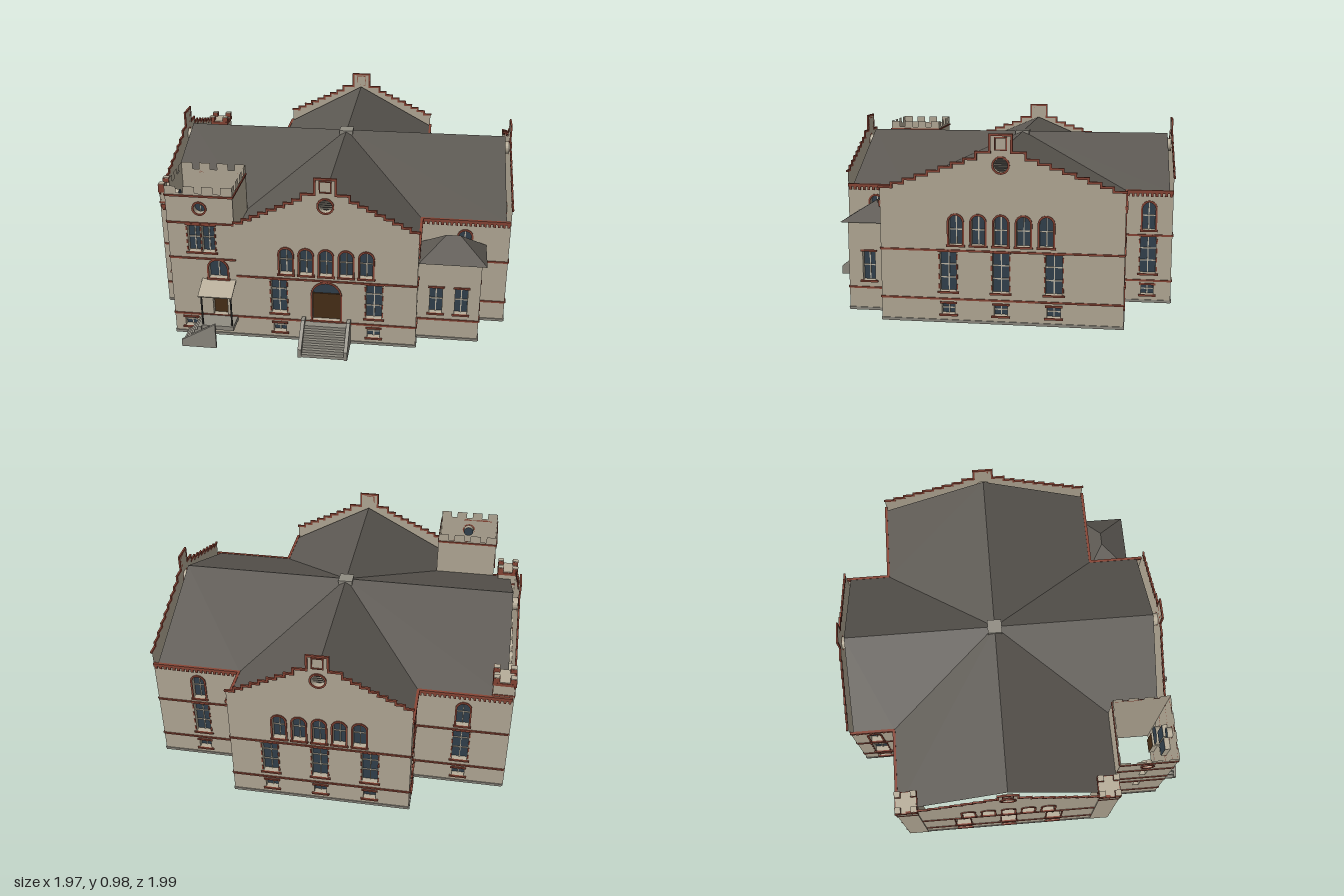
import * as THREE from 'three';

const mat = (name, color, side = THREE.FrontSide) => {
  const m = new THREE.MeshStandardMaterial({ color, side });
  m.name = name;
  return m;
};
const wallMat = mat('limestone wall', 0xb8ae9a, THREE.DoubleSide);
const brick = mat('red brick trim', 0x8a4636);
const roofMat = mat('slate roof', 0x5c5852, THREE.DoubleSide);
const stone = mat('grey stone', 0x918d83);
const glass = mat('window glass', 0x33424f, THREE.DoubleSide);
const wood = mat('door wood', 0x4a3018, THREE.DoubleSide);
const frameMat = mat('window frame', 0xc4bcaa);
const iron = mat('dark iron', 0x2e2d2c);
const DEPTH = 0.03; // window recess
const CX = 0.005, CZ = -0.11, PI = Math.PI;

function add(parent, name, geo, material, x = 0, y = 0, z = 0) {
  const m = new THREE.Mesh(geo, material);
  m.name = name;
  m.position.set(x, y, z);
  parent.add(m);
  return m;
}
// box given by its limits
function box(p, name, m, x0, x1, y0, y1, z0, z1) {
  return add(p, name, new THREE.BoxGeometry(x1 - x0, y1 - y0, z1 - z0), m, (x0 + x1) / 2, (y0 + y1) / 2, (z0 + z1) / 2);
}
const polygon = pts => new THREE.Shape(pts.map(p => new THREE.Vector2(...p)));
const extrude = (shape, depth) => new THREE.ExtrudeGeometry(shape, { depth, bevelEnabled: false, curveSegments: 10 });

// openings: kind, centre x, half width, bottom and top
const arch = (x, h, y0, y1, o) => ({ kind: 'arch', x, h, y0, y1, ...o });
const rect = (x, h, y0, y1, o) => ({ kind: 'rect', x, h, y0, y1, ...o });
const round = (x, y, h, o) => ({ kind: 'round', x, h, y0: y - h, y1: y + h, ...o });
const tall = x => rect(x, 0.042, 0.165, 0.372, { rows: 3, quoins: true });
const cellar = x => rect(x, 0.034, 0.045, 0.1, { rows: 2 });
const upper = x => arch(x, 0.034, 0.41, 0.562, { rows: 2 });

function outline(o, g = 0) {
  const s = new THREE.Shape(), h = o.h + g;
  if (o.kind === 'round') return s.absarc(o.x, o.y0 + o.h, h, 0, 2 * PI), s;
  s.moveTo(o.x - h, o.y0 - g);
  s.lineTo(o.x + h, o.y0 - g);
  if (o.kind === 'arch') s.absarc(o.x, o.y1 - o.h, h, 0, PI);
  else { s.lineTo(o.x + h, o.y1 + g); s.lineTo(o.x - h, o.y1 + g); }
  s.closePath();
  return s;
}

// reveal strip, pane, bars and brick dressing of one opening
function fitOpening(g, o) {
  const pts = outline(o).getPoints(10), pos = [];
  pts.forEach((a, i) => {
    const b = pts[(i + 1) % pts.length];
    pos.push(a.x, a.y, 0, a.x, a.y, -DEPTH, b.x, b.y, -DEPTH, a.x, a.y, 0, b.x, b.y, -DEPTH, b.x, b.y, 0);
  });
  const geo = new THREE.BufferGeometry();
  geo.setAttribute('position', new THREE.Float32BufferAttribute(pos, 3));
  geo.computeVertexNormals();
  add(g, 'reveal', geo, wallMat);
  add(g, 'pane', new THREE.ShapeGeometry(outline(o), 10), o.fill || glass, 0, 0, -DEPTH);
  const { x, h, y0, y1 } = o, zb = -DEPTH + 0.001, H = y1 - y0;
  if (o.rows) {
    box(g, 'mullion', frameMat, x - 0.003, x + 0.003, y0, y1, zb, zb + 0.005);
    for (let i = 1; i < o.rows; i++) {
      const y = y0 + H * i / o.rows;
      box(g, 'glazingBar', frameMat, x - h, x + h, y - 0.003, y + 0.003, zb, zb + 0.005);
    }
  }
  if (o.louvres) for (let i = 1; i < 6; i++) {
    const y = y0 + H * i / 6, w = Math.sqrt(h * h - (y - y0 - h) ** 2);
    box(g, 'louvre', frameMat, x - w, x + w, y - 0.002, y + 0.002, zb, zb + 0.006);
  }
  if (o.bare) return;
  if (o.kind === 'rect') {
    box(g, 'lintel', brick, x - h - 0.01, x + h + 0.01, y1, y1 + 0.01, 0, 0.007);
    if (o.quoins) for (const s of [-1, 1]) for (let i = 0; i < 4; i++) {
      const y = y0 + H * (i + 0.5) / 4;
      box(g, 'quoin', brick, x + s * (h + 0.004) - 0.004, x + s * (h + 0.004) + 0.004, y - H / 16, y + H / 16, 0, 0.005);
    }
  } else {
    const ring = outline(o, 0.01);
    ring.holes.push(outline(o));
    add(g, 'brickSurround', extrude(ring, 0.006), brick);
  }
  if (o.kind !== 'round') box(g, 'sill', brick, x - h - 0.014, x + h + 0.014, y0 - 0.01, y0, 0, 0.009);
}

// thin wall facing local +z, pierced by its openings
function wall(parent, name, x, z, rot, w, top, openings = [], bands = [0.125, 0.38]) {
  const g = new THREE.Group();
  g.name = name;
  g.position.set(x, 0, z);
  g.rotation.y = rot;
  parent.add(g);
  const shape = polygon([[-w / 2, 0], [w / 2, 0], ...top]);
  openings.forEach(o => { shape.holes.push(outline(o)); fitOpening(g, o); });
  add(g, 'wallFace', new THREE.ShapeGeometry(shape, 10), wallMat);
  box(g, 'plinth', stone, -w / 2, w / 2, 0, 0.015, 0, 0.005);
  bands.forEach(y => box(g, 'stringCourse', brick, -w / 2, w / 2, y - 0.005, y + 0.005, 0, 0.006));
  return g;
}
const flat = (w, h) => [[w / 2, h], [-w / 2, h]];

// stepped gable with brick coping
function gable(parent, name, x, z, rot, w, openings) {
  const half = [], n = 8;
  for (let i = 0; i < n; i++) {
    const y = 0.7 + 0.15 * i / (n - 1), at = k => w / 2 + (0.125 - w / 2) * k / n;
    half.push([at(i), y], [at(i + 1), y]);
  }
  half.push([0.125, 0.885], [0.055, 0.885], [0.055, 0.972]);
  const top = [...half, ...half.map(([a, b]) => [-a, b]).reverse()];
  const g = wall(parent, name, x, z, rot, w, top, [round(0, 0.82, 0.036, { fill: iron, louvres: true }), ...openings]);
  for (let i = 0; i < top.length - 1; i++) {
    const [a, b] = top[i], [c, d] = top[i + 1], e = 0.006;
    box(g, 'coping', brick, Math.min(a, c) - e, Math.max(a, c) + e, Math.min(b, d) - e, Math.max(b, d) + e, -0.002, 0.008);
  }
  const panel = rect(0, 0.026, 0.9, 0.955), frame = outline(panel, 0.006);
  frame.holes.push(outline(panel));
  add(g, 'peakPanel', extrude(frame, 0.006), brick);
  return g;
}

// low wall under the eaves with dentil cornice
function eaveWall(parent, x, z, rot, w, openings) {
  const g = wall(parent, 'eaveWall', x, z, rot, w, flat(w, 0.625), openings);
  box(g, 'cornice', brick, -w / 2, w / 2, 0.612, 0.63, -0.005, 0.01);
  const n = Math.round(w / 0.026);
  for (let i = 0; i < n; i++) {
    const cx = -w / 2 + (i + 0.5) * w / n;
    box(g, 'dentil', brick, cx - 0.007, cx + 0.007, 0.595, 0.612, 0, 0.008);
  }
}

// flat faces from corner loops
function faces(loops) {
  const pos = [];
  loops.forEach(l => { for (let i = 1; i < l.length - 1; i++) pos.push(...l[0], ...l[i], ...l[i + 1]); });
  const geo = new THREE.BufferGeometry();
  geo.setAttribute('position', new THREE.Float32BufferAttribute(pos, 3));
  geo.computeVertexNormals();
  return geo;
}

function turret(parent, z) {
  const g = new THREE.Group();
  g.name = 'cornerTurret';
  g.position.set(-0.925, 0, z);
  parent.add(g);
  const ring = (name, m, r, y0, y1) => box(g, name, m, -r, r, y0, y1, -r, r);
  ring('turretShaft', wallMat, 0.057, 0, 0.725);
  ring('turretBand', brick, 0.06, 0.635, 0.645);
  ring('turretCornice', brick, 0.062, 0.703, 0.72);
  for (const sx of [-1, 1]) for (const sz of [-1, 1]) {
    const x = sx * 0.044, w = sz * 0.044;
    box(g, 'merlon', brick, x - 0.017, x + 0.017, 0.72, 0.75, w - 0.017, w + 0.017);
    box(g, 'merlonCap', wallMat, x - 0.016, x + 0.016, 0.75, 0.754, w - 0.016, w + 0.016);
  }
}

export function createModel() {
  const root = new THREE.Group();
  root.name = 'steppedGableHall';

  // gable walls
  const row = d => [-2, -1, 0, 1, 2].map(i => upper(i * d));
  const three = [-0.27, 0, 0.27].flatMap(x => [tall(x), cellar(x)]);
  const front = gable(root, 'frontGable', CX, 0.83, 0, 0.97, [...row(0.107),
    ...[-0.257, 0.257].flatMap(x => [tall(x), cellar(x)]), arch(0, 0.075, 0.135, 0.365)]);
  box(front, 'frontDoor', wood, -0.075, 0.075, 0.135, 0.29, -DEPTH + 0.001, -DEPTH + 0.008);
  gable(root, 'backGable', CX, -0.985, PI, 0.97, [...row(0.107), ...three]);
  gable(root, 'leftGable', 0.975, CZ, PI / 2, 1.24, [...row(0.115), ...three]);
  gable(root, 'rightGable', -0.975, CZ, -PI / 2, 1.24, [...row(0.115), ...three]);

  // walls in the inner corners
  const bayOf = () => [upper(0), tall(0), cellar(0)];
  eaveWall(root, 0.49, -0.8575, PI / 2, 0.255, bayOf());
  eaveWall(root, -0.48, -0.8575, -PI / 2, 0.255, bayOf());
  eaveWall(root, 0.7325, -0.73, PI, 0.485, bayOf());
  eaveWall(root, -0.7275, -0.73, PI, 0.495, bayOf());
  eaveWall(root, 0.49, 0.67, PI / 2, 0.32, [upper(0)]);
  eaveWall(root, 0.7325, 0.51, 0, 0.485, [upper(0)]);
  eaveWall(root, -0.9075, 0.51, 0, 0.135, []);

  // cross roof: two slopes on each of four arms
  const peak = [CX, 0.89, CZ], loops = [];
  for (const s of [-1, 1]) {
    const ex = CX + s * 0.485, ez = CZ + s * 0.62;
    for (const z of [0.8, -0.965]) {
      const v = CZ + Math.sign(z) * 0.62;
      loops.push([peak, [ex, 0.625, v], [ex, 0.625, z], [CX, 0.89, z]]);
    }
    for (const x of [0.95, -0.945]) {
      const v = CX + Math.sign(x) * 0.485;
      loops.push([peak, [v, 0.625, ez], [x, 0.625, ez], [x, 0.89, CZ]]);
    }
  }
  // keep every slope facing up
  loops.forEach(l => {
    const [a, b, c] = l;
    if ((b[2] - a[2]) * (c[0] - a[0]) - (b[0] - a[0]) * (c[2] - a[2]) < 0) l.reverse();
  });
  add(root, 'crossRoof', faces(loops), roofMat);
  box(root, 'ridgeCap', stone, CX - 0.04, CX + 0.04, 0.86, 0.897, CZ - 0.04, CZ + 0.04);

  // open battlemented tower
  const tower = new THREE.Group();
  tower.name = 'tower';
  root.add(tower);
  const battlement = w => {
    const pts = [], m = w * 0.172, gap = (w - 4 * m) / 3;
    for (let i = 0; i < 4; i++) {
      const x = w / 2 - i * (m + gap);
      pts.push([x, 0.855], [x, 0.893], [x - m, 0.893], [x - m, 0.855]);
    }
    return pts;
  };
  const oculus = () => round(0, 0.77, 0.03, { rows: 1 });
  const tb = [0.125, 0.38, 0.475, 0.685, 0.84];
  wall(tower, 'towerFront', -0.66, 0.83, 0, 0.36, battlement(0.36), [oculus(),
    rect(-0.038, 0.034, 0.515, 0.672, { rows: 2, quoins: true }), rect(0.038, 0.034, 0.515, 0.672, { rows: 2, quoins: true }),
    arch(0.08, 0.05, 0.36, 0.468, { rows: 1 }), rect(0.08, 0.04, 0.128, 0.3, { fill: wood, bare: true }), cellar(-0.09)], [0.125, 0.475, 0.685, 0.84]);
  wall(tower, 'towerRight', -0.84, 0.67, -PI / 2, 0.32, battlement(0.32),
    [oculus(), rect(0, 0.018, 0.55, 0.65, { bare: true }), rect(0, 0.018, 0.26, 0.36, { bare: true })], tb);
  wall(tower, 'towerLeft', -0.482, 0.67, PI / 2, 0.32, battlement(0.32), [], [0.84]);
  wall(tower, 'towerBack', -0.66, 0.51, PI, 0.36, battlement(0.36), [], [0.84]);
  [-0.67, 0.452].forEach(z => turret(root, z));

  // side porch: sloping canopy, posts, landing and stair
  const porch = new THREE.Group();
  porch.name = 'sidePorch';
  root.add(porch);
  const canopy = box(porch, 'canopy', wallMat, -0.67, -0.485, -0.004, 0.004, -0.061, 0.061);
  canopy.position.set(-0.578, 0.325, 0.885);
  canopy.rotation.x = Math.atan2(0.045, 0.11);
  for (const x of [-0.655, -0.495]) box(porch, 'post', iron, x - 0.004, x + 0.004, 0.12, 0.3, 0.925, 0.933);
  box(porch, 'landing', stone, -0.67, -0.485, 0.1, 0.125, 0.83, 0.94);
  for (let i = 0; i < 6; i++) box(porch, 'sideStep', stone, -0.77 + i * 0.018, -0.66, i * 0.0205, (i + 1) * 0.0205, 0.83, 0.955);
  add(porch, 'stairCheek', extrude(polygon([[-0.77, 0], [-0.58, 0], [-0.58, 0.15], [-0.77, 0.04]]), 0.015), stone, 0, 0, 0.953);

  // main entrance stair
  const stair = new THREE.Group();
  stair.name = 'mainStair';
  root.add(stair);
  for (let i = 0; i < 7; i++) box(stair, 'step', stone, -0.11, 0.12, i * 0.018, (i + 1) * 0.018, 0.83, 0.995 - i * 0.019);
  const cheek = polygon([[0.83, 0], [1, 0], [1, 0.05], [0.87, 0.15], [0.83, 0.15]]);
  for (const x of [-0.108, 0.138]) add(stair, 'stairCheek', extrude(cheek, 0.02), stone, x, 0, 0).rotation.y = -PI / 2;

  // corner bay with hipped roof
  const bay = new THREE.Group();
  bay.name = 'cornerBay';
  root.add(bay);
  const small = x => rect(x, 0.034, 0.165, 0.322, { rows: 2 });
  wall(bay, 'bayFront', 0.6575, 0.73, 0, 0.335, flat(0.335, 0.485), [small(-0.068), small(0.068)], [0.125]);
  wall(bay, 'bayLeft', 0.825, 0.62, PI / 2, 0.22, flat(0.22, 0.485), [small(0)], [0.125]);
  const [a, b, c, d] = [[0.49, 0.482, 0.765], [0.85, 0.482, 0.765], [0.85, 0.482, 0.51], [0.49, 0.482, 0.51]];
  const e = [0.63, 0.58, 0.605], f = [0.705, 0.58, 0.605];
  add(bay, 'bayRoof', faces([[a, b, f, e], [b, c, f], [c, d, e, f], [d, a, e], [a, d, c, b]]), roofMat);
  return root;
}
